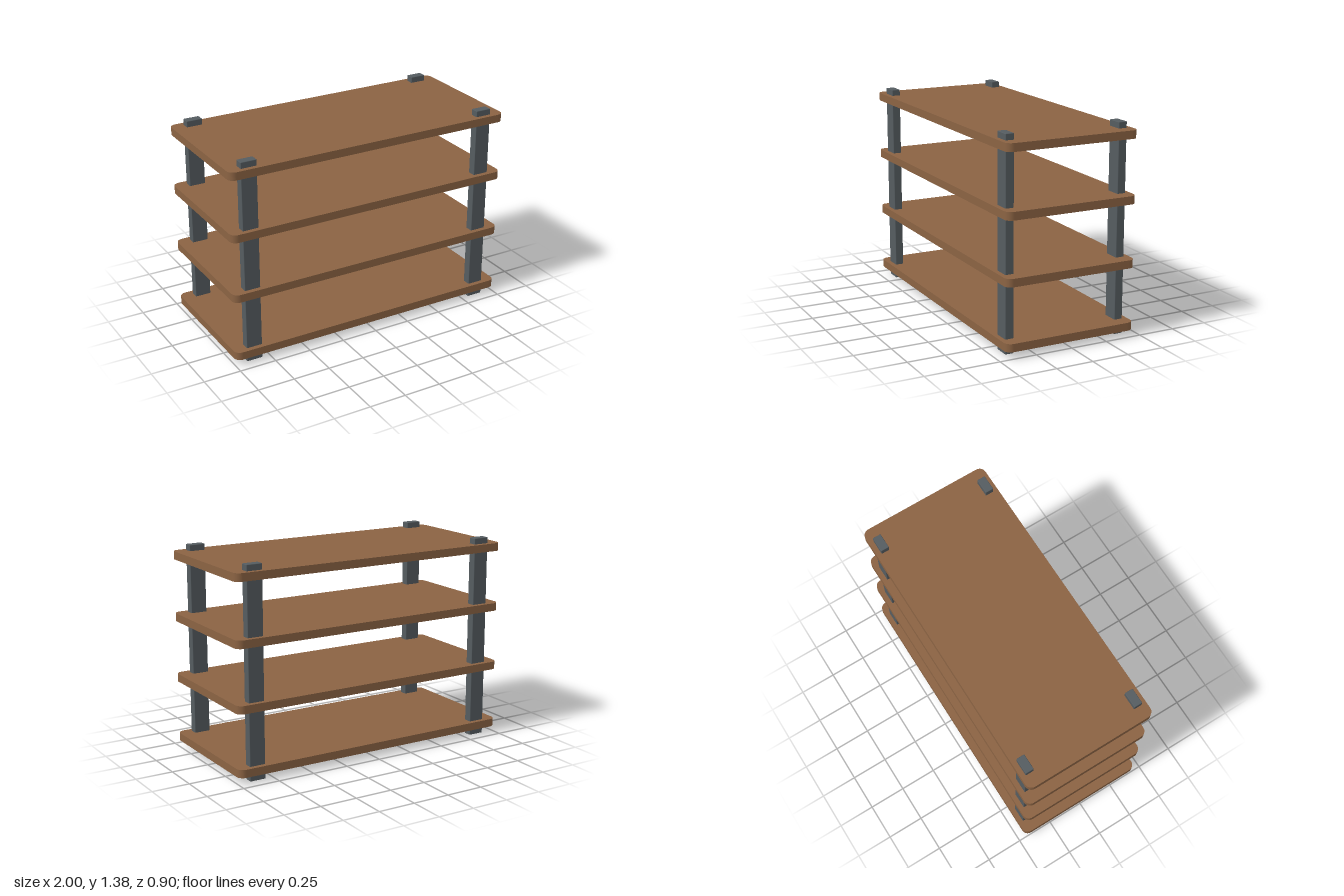
import * as THREE from 'three';
import { RoundedBoxGeometry } from 'three/addons/geometries/RoundedBoxGeometry.js';

const wood = new THREE.MeshStandardMaterial({ name: 'brown wood', color: 0x8b6343 });
const metal = new THREE.MeshStandardMaterial({ name: 'grey metal', color: 0x555c60 });

// Flat board outline with rounded corners, extruded to its thickness
function boardGeometry(width, depth, thickness, r) {
  const x = width / 2, y = depth / 2;
  const s = new THREE.Shape();
  s.absarc(x - r, y - r, r, 0, Math.PI / 2);
  s.absarc(-x + r, y - r, r, Math.PI / 2, Math.PI);
  s.absarc(-x + r, -y + r, r, Math.PI, Math.PI * 1.5);
  s.absarc(x - r, -y + r, r, Math.PI * 1.5, Math.PI * 2);
  s.closePath();
  const g = new THREE.ExtrudeGeometry(s, { depth: thickness, bevelEnabled: false, curveSegments: 6 });
  return g.rotateX(-Math.PI / 2);
}

export function createModel() {
  const model = new THREE.Group();
  model.name = 'shelvingUnit';

  // Four evenly spaced shelves
  const board = boardGeometry(2, 0.904, 0.053, 0.045);
  for (let i = 0; i < 4; i++) {
    const shelf = new THREE.Mesh(board, wood);
    shelf.name = `shelf${i + 1}`;
    shelf.position.y = 0.045 + i * 0.4125;
    model.add(shelf);
  }

  // Four posts running through all the shelves, with softened edges
  const height = 1.376;
  const postGeometry = new RoundedBoxGeometry(0.108, height, 0.057, 2, 0.004);
  for (const [side, x] of [['Left', 0.858], ['Right', -0.858]]) {
    for (const [end, z] of [['front', 0.391], ['back', -0.391]]) {
      const post = new THREE.Mesh(postGeometry, metal);
      post.name = `${end}${side}Post`;
      post.position.set(x, height / 2, z);
      model.add(post);
    }
  }
  return model;
}
